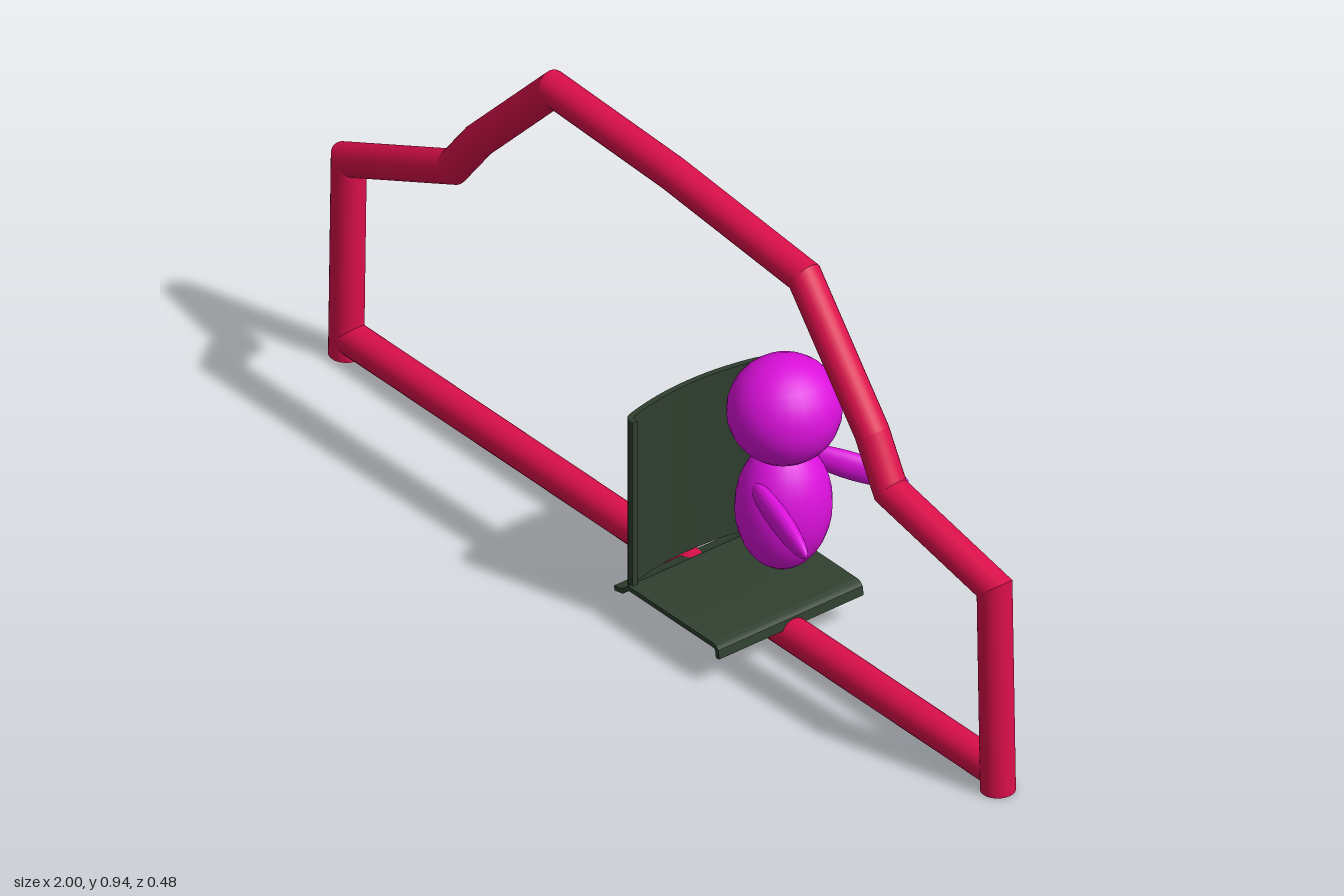
import * as THREE from 'three';
import { toCreasedNormals } from 'three/addons/utils/BufferGeometryUtils.js';

const TUBE_R = 0.034;
const MID_Z = 0.055;

const red = new THREE.MeshStandardMaterial({ color: 0xdc0f4b });
const green = new THREE.MeshStandardMaterial({ color: 0x2f3f2f });
const magenta = new THREE.MeshStandardMaterial({ color: 0xdc10dc });

function add(parent, name, geometry, material) {
  const mesh = new THREE.Mesh(geometry, material);
  mesh.name = name;
  parent.add(mesh);
  return mesh;
}

// Straight tubes along a flat path, mitred where they meet
function mitredTube(parent, name, path) {
  const pts = path.map(([x, y]) => new THREE.Vector2(x, y));
  const angles = pts.slice(1).map((p, i) => Math.atan2(p.y - pts[i].y, p.x - pts[i].x));
  const mitre = (i) => (i < 1 || i >= angles.length ? 0 : Math.tan((angles[i] - angles[i - 1]) / 2));
  angles.forEach((angle, i) => {
    const a = pts[i], b = pts[i + 1];
    const geo = new THREE.CylinderGeometry(TUBE_R, TUBE_R, a.distanceTo(b), 24);
    const pos = geo.attributes.position;
    for (let v = 0; v < pos.count; v++) {
      const x = pos.getX(v), y = pos.getY(v);
      pos.setY(v, y + (y > 0 ? x * mitre(i + 1) : -x * mitre(i)));
    }
    geo.rotateZ(angle - Math.PI / 2);
    geo.translate((a.x + b.x) / 2, (a.y + b.y) / 2, MID_Z);
    add(parent, name, geo, red);
  });
}

// Thin sheet following a profile, extruded to a given depth
function sheet(points, thickness, depth) {
  const pts = points.map(([x, y]) => new THREE.Vector2(x, y));
  const inner = pts.map((p, i) => {
    const d = pts[Math.min(i + 1, pts.length - 1)].clone().sub(pts[Math.max(i - 1, 0)]).normalize();
    return new THREE.Vector2(p.x + d.y * thickness, p.y - d.x * thickness);
  });
  const shape = new THREE.Shape([...pts, ...inner.reverse()]);
  const geo = new THREE.ExtrudeGeometry(shape, { depth, bevelEnabled: false });
  return toCreasedNormals(geo, 0.6);
}

function ellipsoid(parent, name, position, radii) {
  const mesh = add(parent, name, new THREE.SphereGeometry(1, 24, 16), magenta);
  mesh.position.set(...position);
  mesh.scale.set(...radii);
  return mesh;
}

// Flattened arm stretched between shoulder and hand
function arm(parent, name, from, to) {
  const a = new THREE.Vector3(...from), b = new THREE.Vector3(...to);
  const mid = a.clone().add(b).multiplyScalar(0.5);
  const mesh = ellipsoid(parent, name, mid.toArray(), [0.019, 0.029, a.distanceTo(b) / 2]);
  mesh.lookAt(b);
}

export function createModel() {
  const model = new THREE.Group();

  // Car outline frame: posts and roof line, then the floor bar
  const frame = new THREE.Group();
  frame.name = 'frame';
  model.add(frame);
  mitredTube(frame, 'outlineTube', [
    [-0.968, 0], [-0.96, 0.437], [-0.65, 0.578], [-0.575, 0.675], [-0.352, 0.903],
    [0, 0.892], [0.39, 0.858], [0.59, 0.61], [0.645, 0.508], [0.953, 0.445], [0.963, 0],
  ]);
  mitredTube(frame, 'floorTube', [[-0.955, 0.041], [0.95, 0.041]]);

  // Seat: pan with turned-down edges and a curved backrest with rolled sides
  const seat = new THREE.Group();
  seat.name = 'seat';
  model.add(seat);
  const pan = sheet([
    [0.048, 0.068], [0.07, 0.072], [0.09, 0.088], [0.34, 0.088],
    [0.35, 0.086], [0.357, 0.079], [0.36, 0.06],
  ], 0.01, 0.35);
  pan.translate(0, 0, -0.113);
  add(seat, 'seatPan', pan, green);

  const arc = [];
  for (let i = 0; i <= 12; i++) {
    const t = i / 6 - 1;
    arc.push([0.046 + 0.02 * t * t, 0.15 * t]);
  }
  const profile = [[0.095, -0.17], [0.08, -0.168], [0.071, -0.162],
    ...arc, [0.071, 0.162], [0.08, 0.168], [0.095, 0.17]];
  const back = sheet(profile, 0.012, 0.373);
  back.rotateX(-Math.PI / 2);
  back.translate(0, 0.08, 0.061);
  add(seat, 'backrest', back, green);

  // Seated figure
  const figure = new THREE.Group();
  figure.name = 'driver';
  model.add(figure);
  ellipsoid(figure, 'head', [0.218, 0.437, -0.037], [0.108, 0.108, 0.111]);
  ellipsoid(figure, 'body', [0.218, 0.226, -0.035], [0.088, 0.136, 0.096]);
  arm(figure, 'frontArm', [0.2, 0.294, 0.03], [0.425, 0.256, 0.078]);
  arm(figure, 'rearArm', [0.175, 0.302, -0.095], [0.342, 0.25, -0.237]);

  return model;
}
